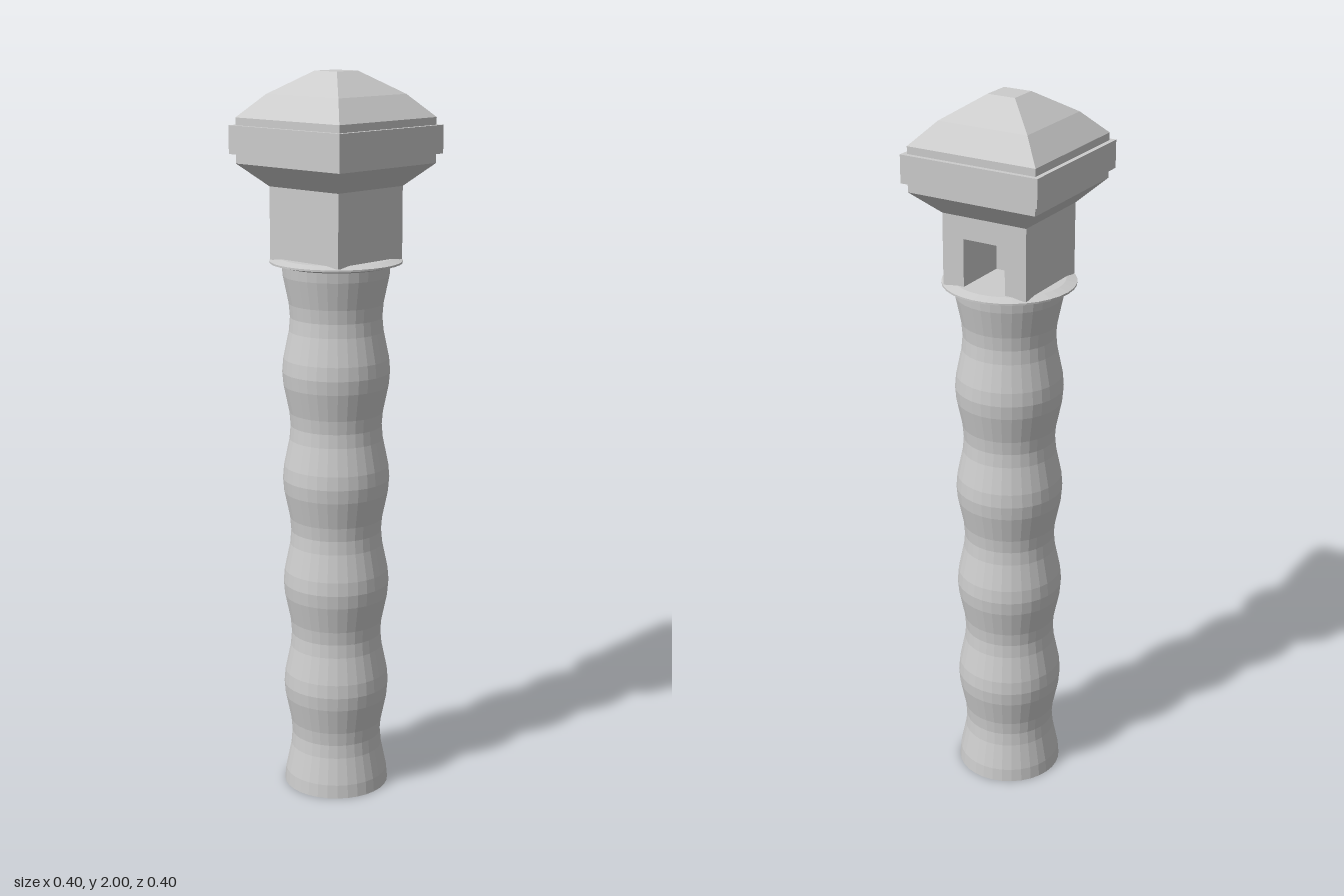
import * as THREE from 'three';

const material = new THREE.MeshStandardMaterial({ color: 0xcccccc, flatShading: true, side: THREE.DoubleSide });

function add(group, name, geometry) {
  const mesh = new THREE.Mesh(geometry, material);
  mesh.name = name;
  group.add(mesh);
  return mesh;
}

// Square-plan solid from [half width, y] points: a four-sided lathe turned 45 degrees
function squareLathe(profile) {
  const points = profile.map(([half, y]) => new THREE.Vector2(half * Math.SQRT2, y));
  return new THREE.LatheGeometry(points, 4, Math.PI / 4);
}

export function createModel() {
  const model = new THREE.Group();
  model.name = 'tower';

  // Hollow shaft: five stacked sections, each with a pinched waist
  const sections = 5, rings = 8, sectionHeight = 0.3;
  const waisted = [];
  for (let i = 0; i <= rings; i++) {
    const t = i / rings;
    waisted.push(new THREE.Vector2(0.136 + 0.011 * Math.cos(t * Math.PI * 2), t * sectionHeight));
  }
  for (let s = 0; s < sections; s++) {
    add(model, 'shaftSection', new THREE.LatheGeometry(waisted, 32)).position.y = s * sectionHeight;
  }

  // Thin round balcony between shaft and chamber
  const rim = [[0, 1.49], [0.147, 1.49], [0.179, 1.498], [0.179, 1.503], [0.15, 1.51], [0, 1.51]];
  add(model, 'balcony', new THREE.LatheGeometry(rim.map(([r, y]) => new THREE.Vector2(r, y)), 32));

  // Square chamber: doorway block facing +x and solid block behind it
  const half = 0.125, floor = 1.505, top = 1.7, depth = 0.16;
  const doorHalf = 0.062, doorTop = 1.64;
  const wall = new THREE.Shape([
    [-half, floor], [-doorHalf, floor], [-doorHalf, doorTop], [doorHalf, doorTop],
    [doorHalf, floor], [half, floor], [half, top], [-half, top],
  ].map(([x, y]) => new THREE.Vector2(x, y)));
  const doorway = new THREE.ExtrudeGeometry(wall, { depth, bevelEnabled: false });
  doorway.rotateY(Math.PI / 2).translate(half - depth, 0, 0);
  add(model, 'doorwayBlock', doorway);
  const backDepth = 2 * half - depth;
  const back = add(model, 'chamberBack', new THREE.BoxGeometry(backDepth, top - floor, 2 * half));
  back.position.set(-half + backDepth / 2, (top + floor) / 2, 0);

  // Flared cornice, projecting band and domed square roof
  add(model, 'cornice', squareLathe([[0, 1.7], [0.125, 1.7], [0.187, 1.76], [0.187, 1.785]]));
  add(model, 'band', squareLathe([[0.187, 1.785], [0.2, 1.785], [0.2, 1.86], [0.187, 1.86]]));
  add(model, 'roof', squareLathe([[0.187, 1.86], [0.187, 1.88], [0.13, 1.94], [0.04, 2], [0, 2]]));

  return model;
}
